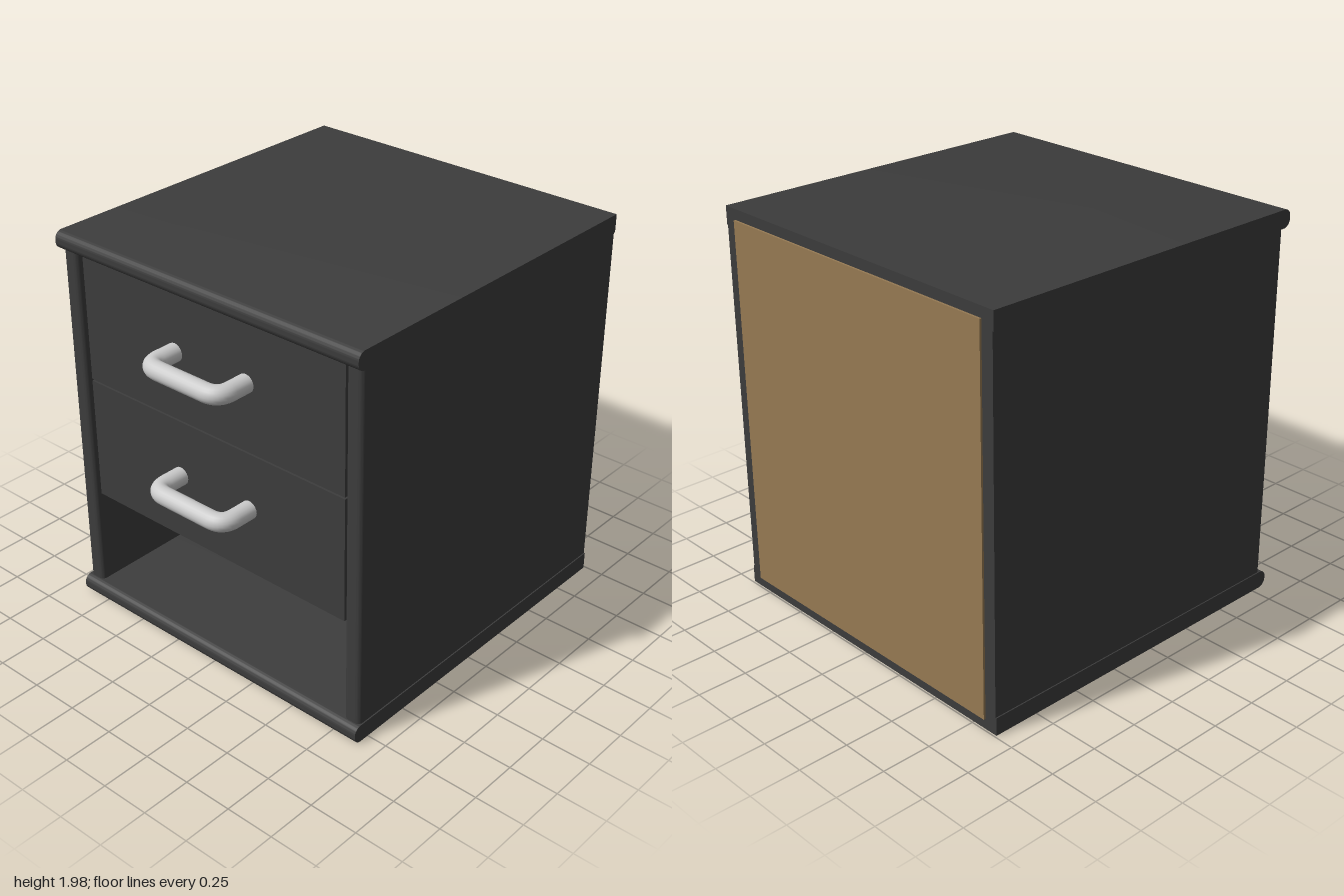
import * as THREE from 'three';
import { toCreasedNormals } from 'three/addons/utils/BufferGeometryUtils.js';

const dark = new THREE.MeshStandardMaterial({ color: 0x3c3c3c });
const brown = new THREE.MeshStandardMaterial({ color: 0x967a53 });
const grey = new THREE.MeshStandardMaterial({ color: 0xcccccc });

const BACK = -0.99;

function add(parent, name, geometry, material, x = 0, y = 0, z = 0) {
  const mesh = new THREE.Mesh(geometry, material);
  mesh.name = name;
  mesh.position.set(x, y, z);
  parent.add(mesh);
  return mesh;
}

// Board lying flat, long along x, with both front edges rounded
function board(length, thickness, front, radius) {
  const h = thickness / 2;
  const s = new THREE.Shape();
  s.moveTo(BACK, -h);
  s.lineTo(front - radius, -h);
  s.absarc(front - radius, -h + radius, radius, -Math.PI / 2, 0, false);
  s.absarc(front - radius, h - radius, radius, 0, Math.PI / 2, false);
  s.lineTo(BACK, h);
  s.closePath();
  const g = new THREE.ExtrudeGeometry(s, { depth: length, bevelEnabled: false, curveSegments: 8 });
  g.translate(0, 0, -length / 2);
  g.rotateY(-Math.PI / 2);
  return toCreasedNormals(g, Math.PI / 5);
}

// U-shaped pull with two rounded bends
function handleGeometry() {
  const w = 0.215, r = 0.075, zIn = -0.19, zOut = 0;
  const v = (x, z) => new THREE.Vector3(x, 0, z);
  const path = new THREE.CurvePath();
  path.add(new THREE.LineCurve3(v(-w, zIn), v(-w, zOut - r)));
  path.add(new THREE.QuadraticBezierCurve3(v(-w, zOut - r), v(-w, zOut), v(-w + r, zOut)));
  path.add(new THREE.LineCurve3(v(-w + r, zOut), v(w - r, zOut)));
  path.add(new THREE.QuadraticBezierCurve3(v(w - r, zOut), v(w, zOut), v(w, zOut - r)));
  path.add(new THREE.LineCurve3(v(w, zOut - r), v(w, zIn)));
  return new THREE.TubeGeometry(path, 60, 0.045, 20, false);
}

// Open-topped drawer with a front panel and a pull
function drawer(name, bottom, height) {
  const g = new THREE.Group();
  g.name = name;
  const width = 1.565, t = 0.03, front = 0.785, depth = 1.7;
  const mid = front - depth / 2;
  const boxHeight = height - 0.06;
  add(g, 'drawerFront', new THREE.BoxGeometry(width, height, 0.06), dark, 0, height / 2, front - 0.03);
  add(g, 'drawerFloor', new THREE.BoxGeometry(width, t, depth - 0.06), dark, 0, t / 2, mid - 0.03);
  add(g, 'drawerBack', new THREE.BoxGeometry(width, boxHeight, t), dark, 0, boxHeight / 2, front - depth + t / 2);
  for (const side of [-1, 1]) {
    add(g, 'drawerSide', new THREE.BoxGeometry(t, boxHeight, depth - 0.06), dark,
      side * (width - t) / 2, boxHeight / 2, mid - 0.03);
  }
  add(g, 'handle', handleGeometry(), grey, 0.01, height / 2 + 0.025, 0.955);
  g.position.y = bottom;
  return g;
}

export function createModel() {
  const model = new THREE.Group();
  model.name = 'bedsideCabinet';

  // Top and bottom boards overhang the front a little
  const slab = board(1.79, 0.09, 0.84, 0.04);
  add(model, 'bottomBoard', slab, dark, 0, 0.045, 0);
  add(model, 'topBoard', slab, dark, 0, 1.93, 0);

  // Upright side panels
  const panel = board(1.795, 0.09, 0.805, 0.025).rotateZ(Math.PI / 2);
  for (const side of [-1, 1]) add(model, 'sidePanel', panel, dark, side * 0.844, 0.9875, 0);

  // Thin back panel
  add(model, 'backPanel', new THREE.BoxGeometry(1.65, 1.87, 0.012), brown, 0, 0.9875, -0.994);

  // Two drawers above an open compartment
  model.add(drawer('upperDrawer', 1.24, 0.63));
  model.add(drawer('lowerDrawer', 0.603, 0.627));

  return model;
}
